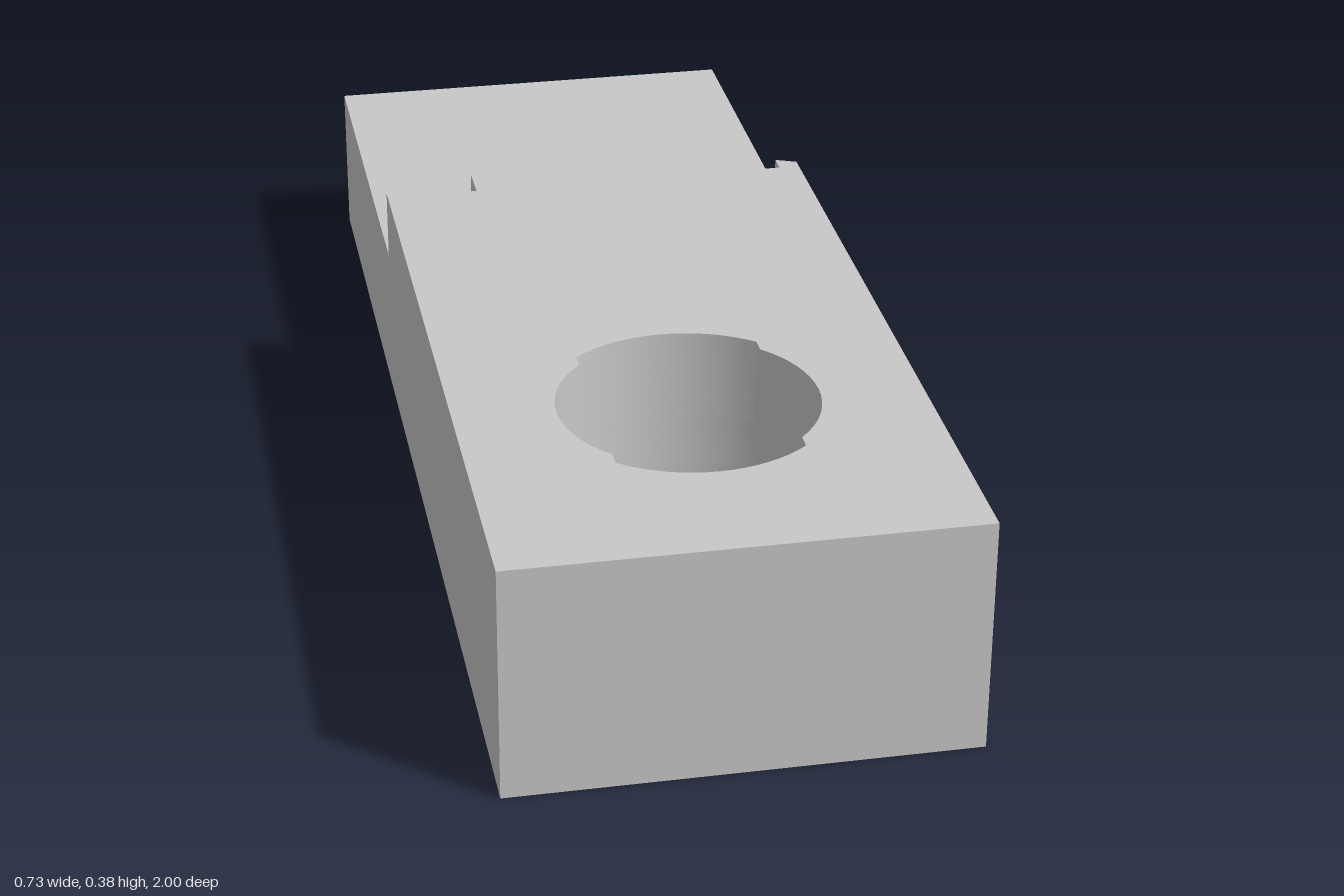
import * as THREE from 'three';
import { toCreasedNormals } from 'three/addons/utils/BufferGeometryUtils.js';

const W = 0.365, L = 1;              // half width, half length
const WALL = 0.063, CEIL = 0.15;     // shell wall, underside ceiling
const LOW = 0.265, TOP = 0.385;      // heights of the two decks
const RIB_Y = 0.24, FLOOR_Y = 0.252; // underside of the hole ribs, pocket floors
const HOLE_Z = 0.556, HOLE_R = 0.224, RIB_R = 0.205, RING_R = 0.289;
const STEP_R = 0.911;                // the step is an arc about the hole
const POCKET = { x0: 0.21, x1: 0.33, front: -0.26, back: -0.347 };
const SLOT_DEPTH = 0.03;

export function createModel() {
  const model = new THREE.Group();
  const grey = new THREE.MeshStandardMaterial({ color: 0xc8c8c8 });
  grey.name = 'light grey';

  const add = (name, geometry) => {
    const mesh = new THREE.Mesh(toCreasedNormals(geometry, 0.5), grey);
    mesh.name = name;
    model.add(mesh);
  };
  // plan outlines are given as [x, z] pairs, counter-clockwise from above
  const pts = (list) => list.map(([x, z]) => new THREE.Vector2(x, -z));
  const rect = (x0, x1, z0, z1) => pts([[x0, z0], [x0, z1], [x1, z1], [x1, z0]]);
  const arc = (r, a0, a1, n) => Array.from({ length: n + 1 }, (_, i) => {
    const a = a0 + ((a1 - a0) * i) / n;
    return [r * Math.cos(a), HOLE_Z - r * Math.sin(a)];
  });
  const circle = (r) => pts(arc(r, 0, Math.PI * 2, 64).slice(0, -1));
  const slab = (name, outline, holes, y0, y1) => {
    const shape = new THREE.Shape(outline);
    shape.holes = holes.map((h) => new THREE.Path(h));
    const g = new THREE.ExtrudeGeometry(shape, { depth: y1 - y0, bevelEnabled: false });
    add(name, g.rotateX(-Math.PI / 2).translate(0, y0, 0));
  };
  const stepZ = (x) => HOLE_Z - Math.sqrt(STEP_R * STEP_R - x * x);

  // hole outline narrowed by a rib on each side
  const ribbedHole = () => {
    const inner = Math.PI / 4;
    const outer = Math.acos((RIB_R * Math.SQRT1_2) / HOLE_R);
    return pts([
      ...arc(RIB_R, -inner, inner, 16), ...arc(HOLE_R, outer, Math.PI - outer, 16),
      ...arc(RIB_R, Math.PI - inner, Math.PI + inner, 16),
      ...arc(HOLE_R, Math.PI + outer, Math.PI * 2 - outer, 16),
    ]);
  };

  // hollow underside: wall frame and socket ring
  slab('wallFrame', rect(-W, W - SLOT_DEPTH, -L, L),
    [rect(-W + WALL, W - WALL, -L + WALL, L - WALL)], 0, CEIL);
  slab('socketRing', circle(RING_R), [circle(HOLE_R)], 0, CEIL);

  // outer skin of the left wall, with a row of slots along its foot
  const comb = new THREE.Shape();
  comb.moveTo(-L, 0);
  for (let i = 11; i >= 0; i--) {
    const c = -0.261 - i * 0.0615, h = 0.018, t = 0.04, b = 0.005;
    comb.lineTo(c - h, 0);
    comb.lineTo(c - h, t - b);
    comb.lineTo(c - h + b, t);
    comb.lineTo(c + h - b, t);
    comb.lineTo(c + h, t - b);
    comb.lineTo(c + h, 0);
  }
  comb.lineTo(L, 0);
  comb.lineTo(L, CEIL);
  comb.lineTo(-L, CEIL);
  const skin = new THREE.ExtrudeGeometry(comb, { depth: SLOT_DEPTH, bevelEnabled: false });
  // profile (z, y) swept along x
  skin.applyMatrix4(new THREE.Matrix4().makeBasis(
    new THREE.Vector3(0, 0, 1), new THREE.Vector3(0, 1, 0), new THREE.Vector3(-1, 0, 0)));
  add('slottedSkin', skin.translate(W, 0, 0));

  // lower deck, with two shallow pockets
  const plan = rect(-W, W, -L, L);
  const pockets = [1, -1].map((s) =>
    rect(s * POCKET.x0, s * POCKET.x1, POCKET.back, POCKET.front));
  slab('deckBase', plan, [circle(HOLE_R)], CEIL, RIB_Y);
  slab('pocketFloor', plan, [ribbedHole()], RIB_Y, FLOOR_Y);
  slab('lowerDeck', plan, [ribbedHole(), ...pockets], FLOOR_Y, LOW);

  // raised deck with curved rear edge, notched by the pockets
  const half = [];
  for (let i = 0; i <= 12; i++) {
    const x = (POCKET.x0 * i) / 12;
    half.push([x, stepZ(x)]);
  }
  half.push([POCKET.x0, POCKET.front], [POCKET.x1, POCKET.front],
    [POCKET.x1, stepZ(POCKET.x1)], [W, stepZ(W)], [W, L]);
  const mirrored = half.slice(1).map(([x, z]) => [-x, z]);
  slab('raisedDeck', pts([...mirrored, ...half.reverse()]), [ribbedHole()], LOW, TOP);

  return model;
}
